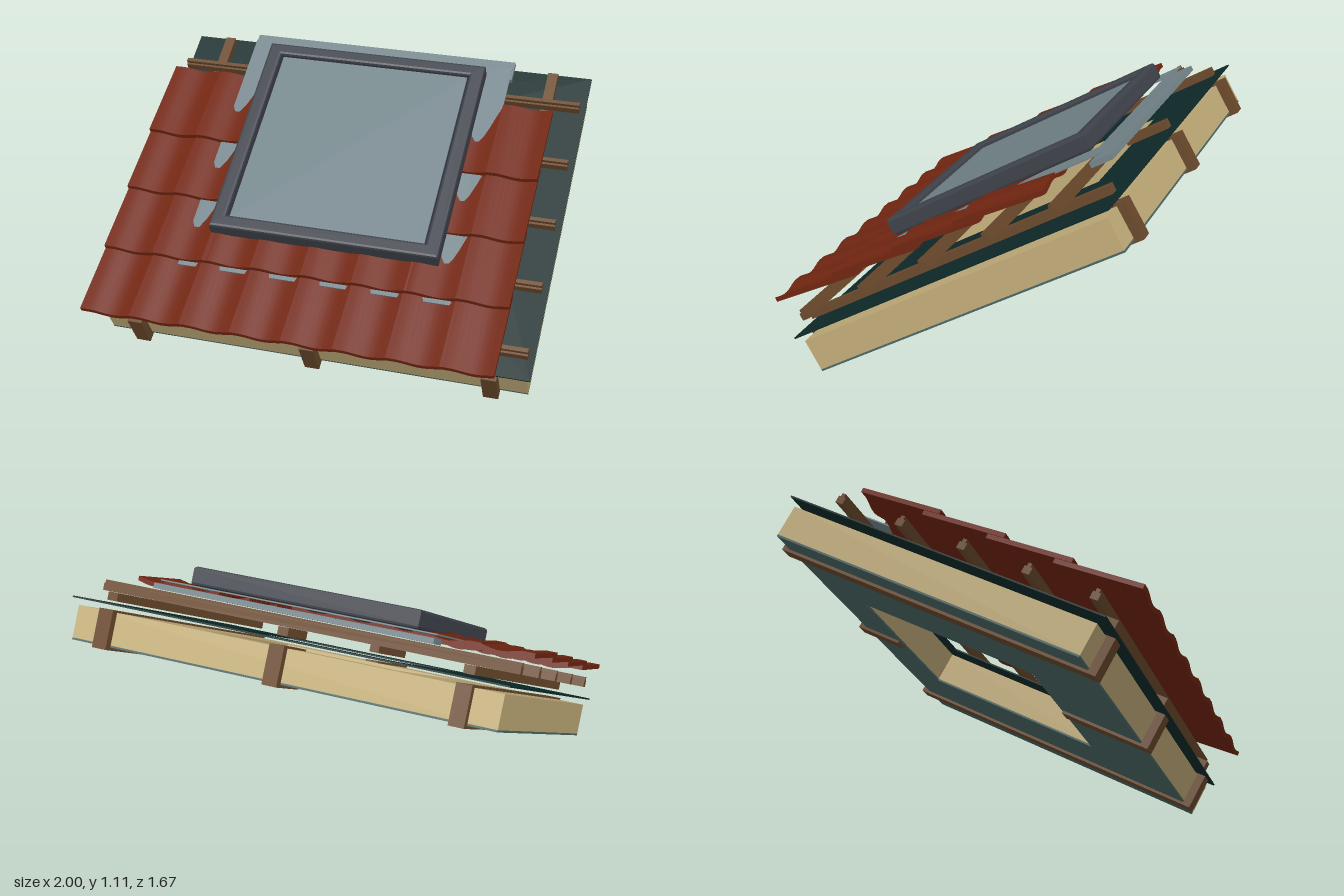
import * as THREE from 'three';
import { toCreasedNormals } from 'three/addons/utils/BufferGeometryUtils.js';

const mat = (name, color) => {
  const m = new THREE.MeshStandardMaterial({ color });
  m.name = name;
  return m;
};

export function createModel() {
  const wood = mat('brown wood', 0x6b4a2c);
  const insulationTan = mat('insulation tan', 0xc4af7b);
  const liningTeal = mat('lining teal', 0x4c6967);
  const underlayDark = mat('underlay dark green', 0x0e2a29);
  const tileRed = mat('tile red', 0x722611);
  const frameGrey = mat('frame grey', 0x3f434b);
  const metal = mat('flashing grey', 0x75868c);
  const glassBlue = mat('glass grey blue', 0x72848a);

  const model = new THREE.Group();
  model.name = 'roofWindowSection';
  // Roof space: x across, y out of the roof, z down the slope
  const roof = new THREE.Group();
  roof.name = 'roof';
  roof.rotation.x = Math.PI / 6;
  model.add(roof);

  const add = (name, geometry, material) => {
    const m = new THREE.Mesh(geometry, material);
    m.name = name;
    roof.add(m);
    return m;
  };
  // Box from its limits in roof space
  const box = (name, material, x0, x1, h0, h1, s0, s1) => {
    const m = add(name, new THREE.BoxGeometry(x1 - x0, h1 - h0, s1 - s0), material);
    m.position.set((x0 + x1) / 2, (h0 + h1) / 2, (s0 + s1) / 2);
    return m;
  };
  const trace = (path, hw, s0, s1) => {
    path.moveTo(-hw, -s1);
    path.lineTo(hw, -s1);
    path.lineTo(hw, -s0);
    path.lineTo(-hw, -s0);
    path.closePath();
    return path;
  };
  // Rectangular slab with a rectangular opening, lying in the roof plane
  const slab = (name, material, outer, inner, h0, h1, bevel = 0) => {
    const shape = trace(new THREE.Shape(), ...outer);
    shape.holes.push(trace(new THREE.Path(), ...inner));
    const g = new THREE.ExtrudeGeometry(shape, {
      depth: h1 - h0 - 2 * bevel, bevelEnabled: bevel > 0, bevelThickness: bevel,
      bevelSize: bevel, bevelOffset: -bevel, bevelSegments: 2,
    });
    g.rotateX(-Math.PI / 2);
    g.translate(0, h0 + bevel, 0);
    return add(name, g, material);
  };

  // Layers with the window opening
  const opening = [0.45, -0.88, 0.05];
  slab('insulation', insulationTan, [0.98, -1.095, 0.47], opening, 0.32, 0.465);
  slab('innerLining', liningTeal, [0.98, -1.095, 0.47], opening, 0.311, 0.32);
  slab('underlay', underlayDark, [1, -1.127, 0.497], opening, 0.494, 0.501);

  // Rafters and counter battens; the middle ones stop at the opening
  for (const x of [-0.82, 0, 0.82]) {
    const rafters = x ? [[-1.133, 0.51]] : [[-1.133, -0.89], [0.06, 0.51]];
    for (const [a, b] of rafters) box('rafter', wood, x - 0.034, x + 0.034, 0.298, 0.473, a, b);
    const counters = x ? [[-1.1, 0.48]] : [[-1.1, -0.89], [0.06, 0.48]];
    for (const [a, b] of counters) box('counterBatten', wood, x - 0.024, x + 0.024, 0.513, 0.55, a, b);
  }

  // Tile battens with a narrow strip on top
  for (let i = 0; i < 5; i++) {
    const s = 0.404 - 0.326 * i;
    const spans = i === 2 || i === 3 ? [[-0.98, -0.5], [0.5, 0.98]] : [[-0.98, 0.98]];
    for (const [a, b] of spans) {
      box('tileBatten', wood, a, b, 0.551, 0.584, s - 0.019, s + 0.019);
      box('battenStrip', wood, a, b, 0.584, 0.6, s - 0.009, s + 0.009);
    }
  }

  // Curved roof tiles, clipped around the window
  const pitch = 0.234, thick = 0.021, tilt = Math.atan(0.028 / 0.41);
  const wave = t => 0.009 * Math.cos(2 * Math.PI * (t - 0.15)) + (t < 0.04 ? 0.003 : 0);
  const tile = (col, xa, xb, s0, s1, rowEnd) => {
    const start = -1 + pitch * col, n = 10, top = [], under = [];
    for (let i = 0; i <= n; i++) {
      const x = xa + (xb - xa) * i / n;
      const h = wave((x - start) / pitch);
      top.push(new THREE.Vector2(x, h));
      under.unshift(new THREE.Vector2(x, h - thick));
    }
    const g = new THREE.ExtrudeGeometry(new THREE.Shape([...top, ...under]), { depth: s1 - s0, bevelEnabled: false });
    g.translate(0, 0, s0 - rowEnd);
    const m = add('roofTile', toCreasedNormals(g, 0.5), tileRed);
    m.position.set(0, 0.668, rowEnd);
    m.rotation.x = -tilt;
  };
  const clip = 0.46;
  for (let row = 0; row < 4; row++) {
    const end = 0.58 - 0.33 * row, begin = end - 0.405;
    for (let col = 0; col < 8; col++) {
      const a = -1 + pitch * col, b = a + pitch;
      if (row === 0) { tile(col, a, b, begin, end, end); continue; }
      // Parts beside the window
      if (a < -clip) tile(col, a, Math.min(b, -clip), begin, end, end);
      if (b > clip) tile(col, Math.max(a, clip), b, begin, end, end);
      // Short tiles below the window
      const l = Math.max(a, -clip), r = Math.min(b, clip);
      if (row === 1 && r > l) tile(col, l, r, 0.03, end, end);
    }
  }

  // Sheet metal flashing around the window
  slab('flashing', metal, [0.64, -1.035, 0.272], [0.5, -0.985, 0.06], 0.641, 0.647);
  box('headFlashing', metal, -0.645, 0.645, 0.603, 0.627, -1.08, -0.975);

  // Window sash and pane, with a narrow gap at the pane sides
  slab('windowFrame', frameGrey, [0.53, -0.962, 0.096], [0.463, -0.9, 0.03], 0.65, 0.733, 0.012);
  box('windowGlass', glassBlue, -0.453, 0.453, 0.7, 0.709, -0.9, 0.03);
  box('windowUnderside', frameGrey, -0.453, 0.453, 0.668, 0.7, -0.9, 0.03);

  return model;
}
